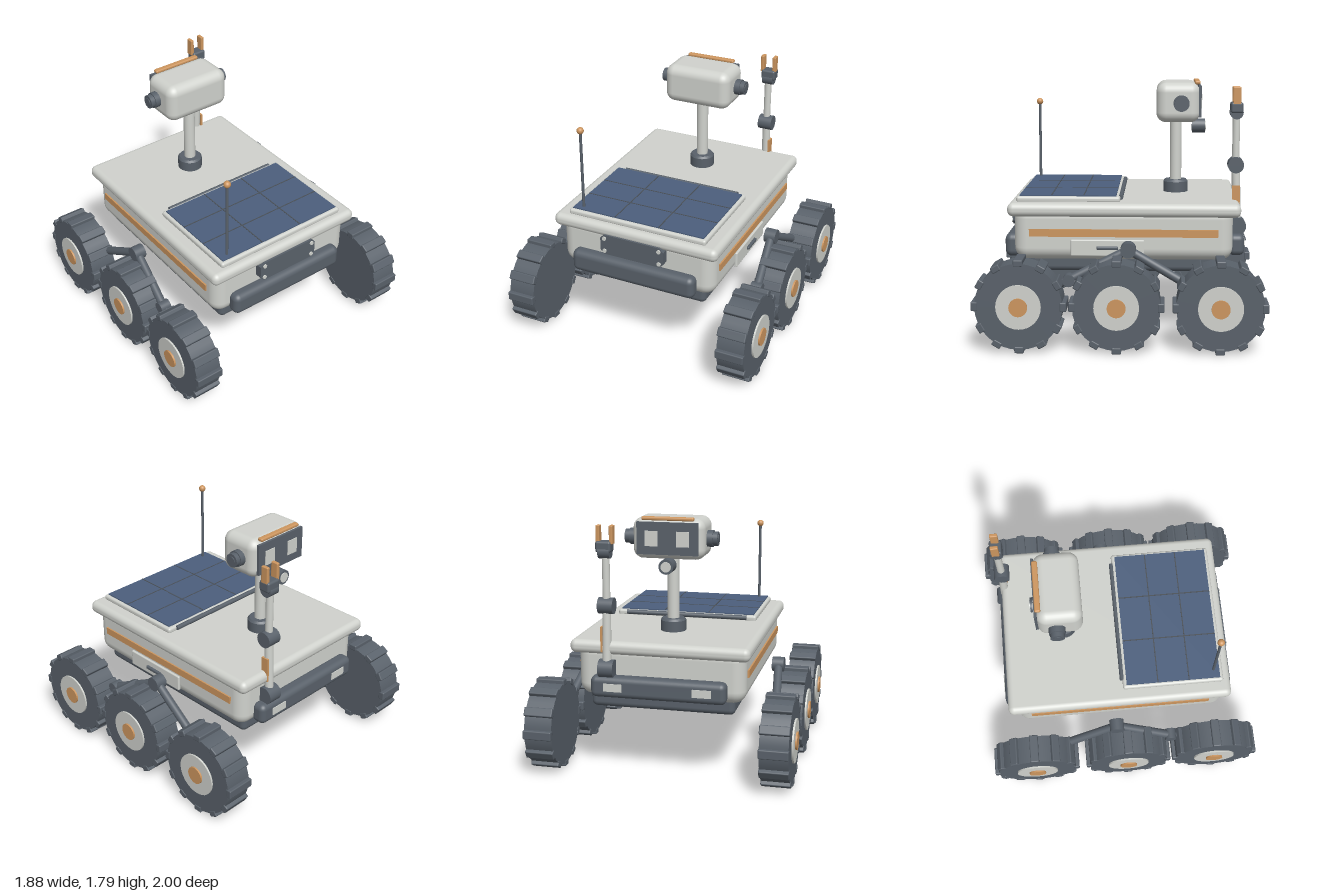
import * as THREE from 'three';
import { RoundedBoxGeometry } from 'three/addons/geometries/RoundedBoxGeometry.js';

const mat = (name, color) => {
  const m = new THREE.MeshStandardMaterial({ color });
  m.name = name;
  return m;
};

export function createModel() {
  const light = mat('light shell', 0xd0d2cd);
  const dark = mat('dark rubber', 0x59616a);
  const orange = mat('copper accent', 0xcd965f);
  const blue = mat('solar blue', 0x4c5f7d);
  const line = mat('grid line', 0x4a5057);

  const rover = new THREE.Group();
  rover.name = 'rover';

  const add = (parent, name, geo, material, x = 0, y = 0, z = 0) => {
    const m = new THREE.Mesh(geo, material);
    m.name = name;
    m.position.set(x, y, z);
    parent.add(m);
    return m;
  };
  // Boxes are given by their limits on each axis; r rounds the edges
  const box = (parent, name, material, [x0, x1], [y0, y1], [z0, z1], r = 0) => {
    const w = x1 - x0, h = y1 - y0, d = z1 - z0;
    const geo = r ? new RoundedBoxGeometry(w, h, d, 4, r) : new THREE.BoxGeometry(w, h, d);
    return add(parent, name, geo, material, (x0 + x1) / 2, (y0 + y1) / 2, (z0 + z1) / 2);
  };
  const cyl = (r, len, axis = 'y', top = r) => {
    const g = new THREE.CylinderGeometry(top, r, len, 32);
    if (axis === 'x') g.rotateZ(-Math.PI / 2);
    if (axis === 'z') g.rotateX(Math.PI / 2);
    return g;
  };
  const strut = (parent, name, material, a, b, r) => {
    const p = new THREE.Vector3(...a), q = new THREE.Vector3(...b);
    const dir = q.clone().sub(p);
    const m = add(parent, name, cyl(r, dir.length()), material);
    m.position.copy(p).add(q).multiplyScalar(0.5);
    m.quaternion.setFromUnitVectors(new THREE.Vector3(0, 1, 0), dir.normalize());
  };

  // Body
  box(rover, 'hull', light, [-0.587, 0.587], [0.566, 0.95], [-0.775, 0.75], 0.09);
  box(rover, 'belly', dark, [-0.51, 0.51], [0.475, 0.62], [-0.72, 0.7], 0.04);
  box(rover, 'deck', light, [-0.626, 0.626], [0.88, 0.975], [-0.826, 0.79], 0.042);
  box(rover, 'frontBumper', dark, [-0.472, 0.472], [0.567, 0.732], [0.72, 0.828], 0.045);
  box(rover, 'rearBumper', dark, [-0.472, 0.472], [0.585, 0.735], [-0.862, -0.75], 0.04);
  for (const s of [-1, 1]) {
    box(rover, 'rearLamp', light, [s * 0.31 - 0.065, s * 0.31 + 0.065], [0.635, 0.69], [-0.868, -0.858]);
    box(rover, 'sideStripe', orange, [s * 0.591 - 0.007, s * 0.591 + 0.007], [0.74, 0.793], [-0.67, 0.64]);
  }

  // Bolted front plate with clipped corners
  const plate = new THREE.Shape();
  const W = 0.243, H = 0.076, c = 0.03;
  [[-W + c, -H], [W - c, -H], [W, -H + c], [W, H - c], [W - c, H], [-W + c, H], [-W, H - c], [-W, -H + c]]
    .forEach(([x, y], i) => (i ? plate.lineTo(x, y) : plate.moveTo(x, y)));
  add(rover, 'frontPlate', new THREE.ExtrudeGeometry(plate, { depth: 0.06, bevelEnabled: false }), dark, 0, 0.833, 0.742);
  for (const x of [-0.21, 0.21]) for (const y of [0.785, 0.882])
    add(rover, 'plateBolt', cyl(0.015, 0.012, 'z'), light, x, y, 0.805);

  // Side hatch
  box(rover, 'hatch', light, [0.58, 0.603], [0.605, 0.72], [-0.16, 0.35], 0.008);
  box(rover, 'hatchHandle', dark, [0.6, 0.622], [0.652, 0.677], [0.02, 0.17], 0.008);

  // Solar panel: 3 x 3 cells on a frame, hinged at the rear
  box(rover, 'panelFrame', light, [-0.525, 0.525], [0.965, 1.01], [0.01, 0.737], 0.018);
  box(rover, 'solarPanel', blue, [-0.503, 0.503], [1.0, 1.018], [0.037, 0.714]);
  for (const i of [1, 2]) {
    const x = -0.503 + i * 1.006 / 3, z = 0.037 + i * 0.677 / 3;
    box(rover, 'panelLine', line, [x - 0.004, x + 0.004], [1.015, 1.02], [0.037, 0.714]);
    box(rover, 'panelLine', line, [-0.503, 0.503], [1.015, 1.02], [z - 0.004, z + 0.004]);
  }
  add(rover, 'panelHinge', cyl(0.017, 0.91, 'x'), dark, 0, 0.995, 0.008);

  // Antenna
  add(rover, 'antenna', cyl(0.01, 0.6), dark, -0.44, 1.3, 0.672);
  add(rover, 'antennaTip', new THREE.SphereGeometry(0.025, 24, 16), orange, -0.44, 1.603, 0.672);

  // Mast and sensor head, looking backwards
  add(rover, 'mastCollar', cyl(0.09, 0.08), dark, 0, 1.01, -0.38);
  add(rover, 'mastCollarBevel', cyl(0.09, 0.015, 'y', 0.078), dark, 0, 1.0575, -0.38);
  add(rover, 'mast', cyl(0.042, 0.55), light, 0, 1.27, -0.38);
  const head = new THREE.Group();
  head.name = 'head';
  rover.add(head);
  box(head, 'headShell', light, [-0.254, 0.254], [1.5, 1.784], [-0.548, -0.237], 0.07);
  box(head, 'facePlate', dark, [-0.215, 0.215], [1.537, 1.76], [-0.559, -0.54]);
  box(head, 'brow', orange, [-0.183, 0.183], [1.77, 1.795], [-0.552, -0.512], 0.01);
  for (const s of [-1, 1]) {
    box(head, 'eye', light, [s * 0.11 - 0.045, s * 0.11 + 0.045], [1.595, 1.7], [-0.565, -0.557]);
    add(head, 'sideKnob', cyl(0.057, 0.07, 'x'), dark, s * 0.26, 1.64, -0.415);
    add(head, 'sideKnobTip', cyl(0.049, 0.04, 'x'), dark, s * 0.308, 1.64, -0.415);
    add(head, 'sideKnobButton', cyl(0.03, 0.01, 'x'), dark, s * 0.328, 1.64, -0.415);
  }
  add(head, 'lowerCamera', cyl(0.052, 0.095, 'z'), dark, 0, 1.46, -0.545);
  add(head, 'lowerCameraLens', cyl(0.036, 0.008, 'z'), light, 0, 1.46, -0.594);

  // Rear arm with gripper
  const arm = new THREE.Group();
  arm.name = 'arm';
  rover.add(arm);
  const ax = 0.36, az = -0.797;
  add(arm, 'shoulder', cyl(0.063, 0.105, 'x'), dark, ax, 0.785, -0.812);
  strut(arm, 'lowerArm', light, [ax, 0.785, -0.812], [ax, 1.22, az], 0.03);
  add(arm, 'elbow', cyl(0.056, 0.105, 'x'), dark, ax, 1.22, az);
  strut(arm, 'upperArm', light, [ax, 1.22, az], [ax, 1.59, az], 0.026);
  box(arm, 'armStripe', orange, [0.385, 0.4], [0.9, 1.075], [-0.828, -0.773]);
  add(arm, 'wrist', cyl(0.047, 0.08, 'x'), dark, ax + 0.005, 1.588, az);
  box(arm, 'gripperPalm', dark, [0.315, 0.422], [1.585, 1.66], [-0.84, -0.754], 0.015);
  for (const s of [-1, 1])
    box(arm, 'gripperFinger', orange, [0.362 + s * 0.046 - 0.013, 0.362 + s * 0.046 + 0.013], [1.64, 1.765], [-0.825, -0.77], 0.006);

  // Wheels: twelve cleats, pale hub and copper cap on the outer side
  const wheelZ = [0.678, 0.02, -0.678], wheelY = 0.322;
  const tyreGeo = cyl(0.297, 0.197, 'x');
  const cleatGeo = new RoundedBoxGeometry(0.205, 0.045, 0.064, 2, 0.008);
  const makeWheel = (s, z) => {
    const wheel = new THREE.Group();
    wheel.name = 'wheel';
    wheel.position.set(s * 0.8175, wheelY, z);
    add(wheel, 'tyre', tyreGeo, dark);
    for (let i = 0; i < 12; i++) {
      const a = i * Math.PI / 6;
      add(wheel, 'cleat', cleatGeo, dark, 0, 0.2995 * Math.cos(a), 0.2995 * Math.sin(a)).rotation.x = a;
    }
    add(wheel, 'hub', cyl(0.153, 0.03, 'x'), light, s * 0.096, 0, 0);
    add(wheel, 'hubCap', cyl(0.063, 0.03, 'x'), orange, s * 0.108, 0, 0);
    rover.add(wheel);
  };

  // Rocker and bogie suspension on each side
  for (const s of [-1, 1]) {
    wheelZ.forEach((z) => makeWheel(s, z));
    const pivot = [s * 0.708, 0.677, -0.053], joint = [s * 0.76, 0.475, 0.35];
    const suspension = new THREE.Group();
    suspension.name = 'suspension';
    rover.add(suspension);
    add(suspension, 'rockerPivot', cyl(0.053, 0.085, 'x'), dark, ...pivot);
    add(suspension, 'bogieJoint', cyl(0.042, 0.08, 'x'), dark, ...joint);
    strut(suspension, 'rearRocker', dark, pivot, [s * 0.775, wheelY, wheelZ[2]], 0.03);
    strut(suspension, 'frontRocker', dark, pivot, joint, 0.03);
    strut(suspension, 'frontBogie', dark, joint, [s * 0.775, wheelY, wheelZ[0]], 0.026);
    strut(suspension, 'middleBogie', dark, joint, [s * 0.775, wheelY, wheelZ[1]], 0.026);
  }
  return rover;
}
